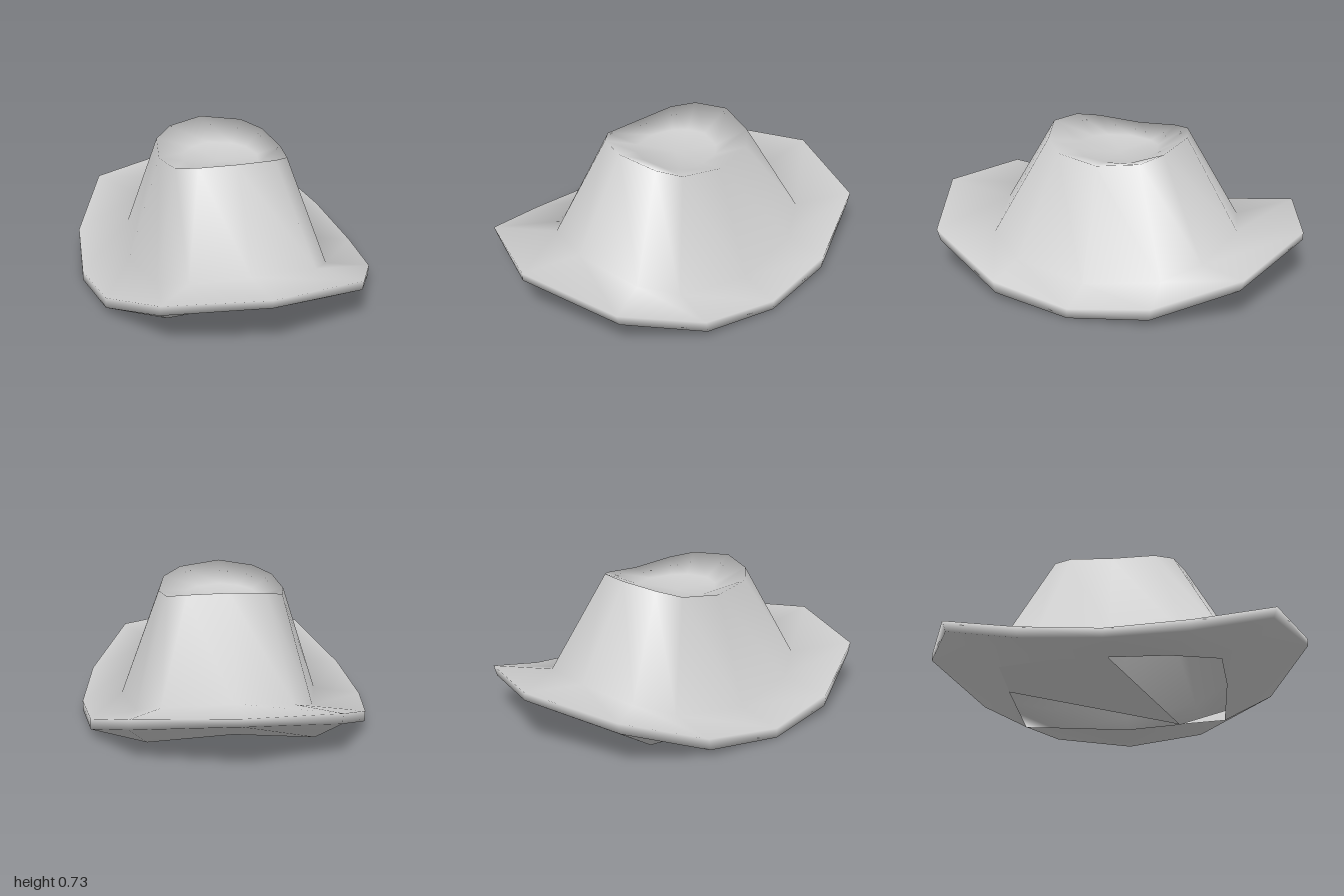
import * as THREE from 'three';

// Each ring: x shift, then [x, y, z] for the side, two corners and the front/back tip.
const RINGS = [
  [0.01, [0.50, 0.02, 0], [0.47, 0.03, 0.30], [0.42, 0.025, 0.55], [0, 0.06, 0.57]],  // head opening
  [0.01, [0.75, 0.01, 0], [0.70, 0.05, 0.41], [0.51, 0.19, 0.81], [0, 0.26, 1]],      // brim edge, lower
  [0.01, [0.75, 0.06, 0], [0.70, 0.11, 0.42], [0.51, 0.25, 0.83], [0, 0.30, 1]],      // brim edge, upper
  [0.03, [0.52, 0.10, 0], [0.45, 0.14, 0.39], [0.33, 0.21, 0.57], [0, 0.25, 0.65]],   // crown base
  [0.015, [0.33, 0.66, 0], [0.295, 0.685, 0.22], [0.20, 0.715, 0.315], [0, 0.735, 0.37]], // crown rim
  [0.015, [0.20, 0.63, 0], [0.17, 0.63, 0.12], [0.11, 0.635, 0.18], [0, 0.64, 0.21]], // crown dent
];
const STEPS = [0, 1, 2, 3, 2, 1, 0, 1, 2, 3, 2, 1];
const N = STEPS.length;

// Mirror the quarter outline into a full ring of points.
function ringPoints([shift, ...quarter]) {
  return STEPS.flatMap((k, i) => {
    const [x, y, z] = quarter[k];
    const sx = i < 3 || i > 9 ? 1 : -1;
    return [k === 3 ? 0 : sx * x + shift, y, i < 6 ? z : -z];
  });
}

// Quads between successive rings.
function loft(from, to) {
  const index = [];
  for (let r = from; r < to; r++) {
    for (let i = 0; i < N; i++) {
      const j = (i + 1) % N;
      const a = r * N + i, b = r * N + j, c = b + N, d = a + N;
      index.push(a, d, c, a, c, b);
    }
  }
  return index;
}

export function createModel() {
  const group = new THREE.Group();
  group.name = 'hat';
  const felt = new THREE.MeshStandardMaterial({ color: 0xcccccc, side: THREE.DoubleSide });
  felt.name = 'grey felt';

  const center = RINGS.length * N;
  const position = new THREE.Float32BufferAttribute([...RINGS.flatMap(ringPoints), 0.01, 0.61, 0], 3);
  const brimFaces = loft(0, 3);
  const crownFaces = loft(3, RINGS.length - 1);
  for (let i = 0; i < N; i++) {
    crownFaces.push(center - N + i, center, center - N + (i + 1) % N);
  }

  // Normals are shared so the crown flows smoothly into the brim.
  const whole = new THREE.BufferGeometry();
  whole.setAttribute('position', position);
  whole.setIndex([...brimFaces, ...crownFaces]);
  whole.computeVertexNormals();

  const addPart = (name, faces, normals) => {
    const geometry = new THREE.BufferGeometry();
    geometry.setAttribute('position', position);
    if (normals) geometry.setAttribute('normal', normals);
    geometry.setIndex(faces);
    if (!normals) geometry.computeVertexNormals();
    const mesh = new THREE.Mesh(geometry, felt);
    mesh.name = name;
    group.add(mesh);
  };
  addPart('brim', brimFaces, whole.attributes.normal);
  addPart('crown', crownFaces, whole.attributes.normal);

  // Flap stretched across part of the head opening.
  addPart('underFlap', [1, 6, 7, 1, 7, 8, 1, 8, 9]);
  return group;
}
